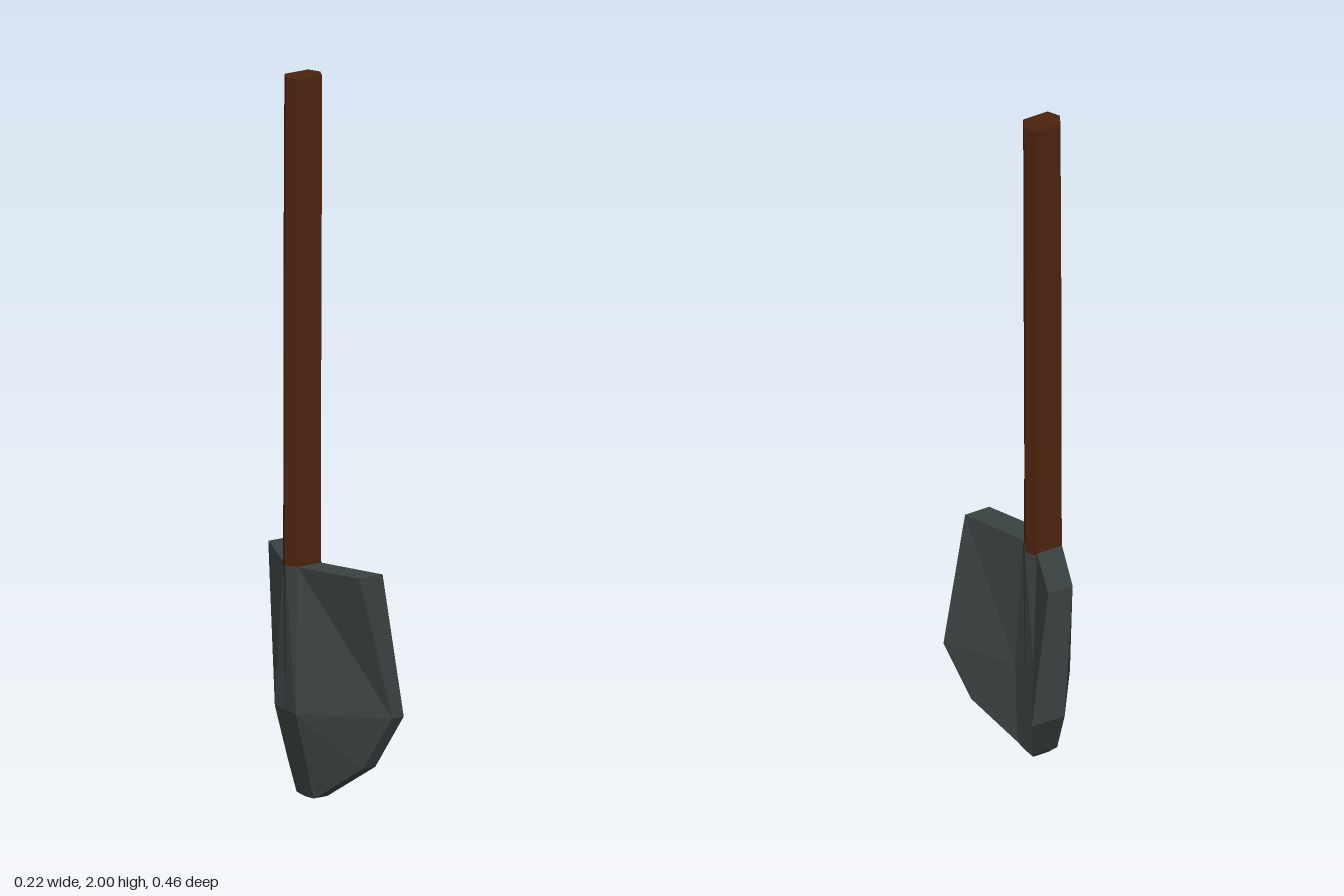
import * as THREE from 'three';

// Joins rings of [x, y, z] points, listed bottom to top, into a closed solid.
// Each ring runs along the back from +z to -z, then returns along the inside.
function loft(rings, material, name) {
  const n = rings[0].length, pos = [];
  const quad = (a, b, c, d) => {
    for (const p of [a, b, c, a, c, d]) pos.push(...p);
  };
  for (let r = 0; r < rings.length - 1; r++) {
    const lo = rings[r], hi = rings[r + 1];
    for (let i = 0; i < n; i++) {
      const j = (i + 1) % n;
      quad(lo[i], hi[i], hi[j], lo[j]);
    }
  }
  // End caps, filled in strips across the thickness
  const bottom = rings[0], top = rings[rings.length - 1];
  for (let i = 0; i < n / 2 - 1; i++) {
    quad(top[i], top[n - 1 - i], top[n - 2 - i], top[i + 1]);
    quad(bottom[i], bottom[i + 1], bottom[n - 2 - i], bottom[n - 1 - i]);
  }
  const geometry = new THREE.BufferGeometry();
  geometry.setAttribute('position', new THREE.Float32BufferAttribute(pos, 3));
  geometry.computeVertexNormals(); // unshared corners give flat facets
  const mesh = new THREE.Mesh(geometry, material);
  mesh.name = name;
  return mesh;
}

// Blade section: ridge, fold and tip points of the back and inner surfaces
function bladeRing({ yMid, yFold, yTip, zFold, zTip, ridge, fold, tipFront, tipBack, tipIn }) {
  return [
    [tipFront, yTip, zTip], [fold[0], yFold, zFold], [ridge[0], yMid, 0],
    [fold[0], yFold, -zFold], [tipBack, yTip, -zTip],
    [tipIn, yTip, -zTip], [fold[1], yFold, -zFold], [ridge[1], yMid, 0],
    [fold[1], yFold, zFold], [tipIn, yTip, zTip],
  ];
}

export function createModel() {
  const group = new THREE.Group();
  group.name = 'shovel';
  const wood = new THREE.MeshStandardMaterial({ color: 0x4c230e });
  wood.name = 'dark wood';
  const metal = new THREE.MeshStandardMaterial({ color: 0x3a4241 });
  metal.name = 'dark metal';

  // Six-sided handle, very slightly uneven along its length
  const handle = [[0.64, 0.036, -0.003], [0.9, 0.033, -0.002], [1.5, 0.035, 0], [2, 0.034, 0.003]]
    .map(([y, h, dz]) => [
      [-0.095, y, h + dz], [-0.113, y, dz], [-0.095, y, -h + dz],
      [-0.02, y, -h + dz], [-0.003, y, dz], [-0.02, y, h + dz],
    ]);
  group.add(loft(handle, wood, 'handle'));

  // Folded blade: point, lower shoulder, widest line, top edge
  const blade = [
    { yMid: 0, yFold: 0.003, yTip: 0.01, zFold: 0.04, zTip: 0.05,
      ridge: [-0.05, -0.005], fold: [-0.05, -0.005], tipFront: -0.04, tipBack: -0.045, tipIn: -0.003 },
    { yMid: 0.1, yFold: 0.1, yTip: 0.1, zFold: 0.046, zTip: 0.157,
      ridge: [-0.075, -0.004], fold: [-0.075, -0.004], tipFront: 0.03, tipBack: -0.01, tipIn: 0.07 },
    { yMid: 0.25, yFold: 0.25, yTip: 0.25, zFold: 0.05, zTip: 0.23,
      ridge: [-0.113, -0.003], fold: [-0.113, -0.003], tipFront: 0.075, tipBack: 0.01, tipIn: 0.112 },
    { yMid: 0.65, yFold: 0.65, yTip: 0.65, zFold: 0.036, zTip: 0.217,
      ridge: [-0.113, -0.003], fold: [-0.096, -0.019], tipFront: -0.022, tipBack: -0.022, tipIn: 0.053 },
  ].map(bladeRing);
  group.add(loft(blade, metal, 'blade'));

  return group;
}
